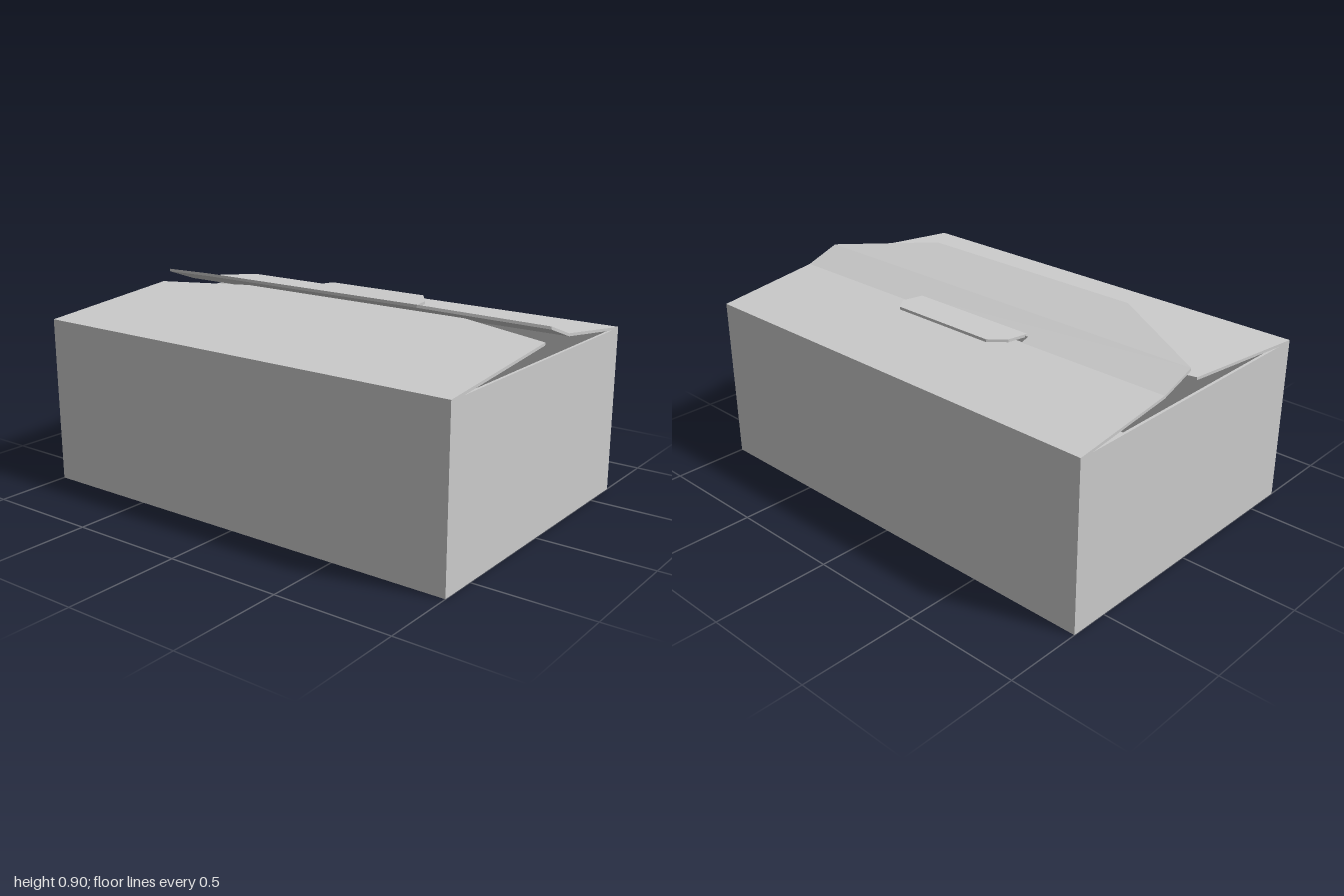
import * as THREE from 'three';

const T = 0.012; // card thickness
const W = 1, D = 0.667, H = 0.722; // half width, half depth, wall height
const material = new THREE.MeshStandardMaterial({ color: 0xcccccc, flatShading: true, side: THREE.DoubleSide });

// Sloped sheet: outline is [x, z] points; its underside runs from (z0, y0) to (z1, y1).
function sheet(name, outline, [z0, y0], [z1, y1], hole) {
  const toVec = ([x, z]) => new THREE.Vector2(x, -z);
  const shape = new THREE.Shape(outline.map(toVec));
  if (hole) shape.holes.push(new THREE.Path(hole.map(toVec)));
  const geometry = new THREE.ExtrudeGeometry(shape, { depth: T, bevelEnabled: false });
  geometry.rotateX(-Math.PI / 2);
  const p = geometry.attributes.position;
  for (let i = 0; i < p.count; i++) {
    p.setY(i, p.getY(i) + y0 + ((p.getZ(i) - z0) / (z1 - z0)) * (y1 - y0));
  }
  geometry.computeVertexNormals();
  const mesh = new THREE.Mesh(geometry, material);
  mesh.name = name;
  return mesh;
}

function rect(x, z0, z1) {
  return [[-x, z0], [x, z0], [x, z1], [-x, z1]];
}

function board(name, w, h, d, x, y, z) {
  const mesh = new THREE.Mesh(new THREE.BoxGeometry(w, h, d), material);
  mesh.name = name;
  mesh.position.set(x, y, z);
  return mesh;
}

export function createModel() {
  const model = new THREE.Group();
  model.name = 'cardboardBox';

  // Open tray: base and four thin walls
  const tray = new THREE.Group();
  tray.name = 'tray';
  tray.add(board('base', 2 * W, T, 2 * D, 0, T / 2, 0));
  for (const [side, s] of [['left', 1], ['right', -1]]) {
    tray.add(board(side + 'Wall', T, H - T, 2 * D, s * (W - T / 2), (H + T) / 2, 0));
  }
  for (const [side, s] of [['front', 1], ['back', -1]]) {
    tray.add(board(side + 'Wall', 2 * (W - T), H - T, T, 0, (H + T) / 2, s * (D - T / 2)));
  }
  model.add(tray);

  // Front flap with clipped corners, and the locking tab on the same slope
  const frontHinge = [D, 0.714], frontTip = [-0.33, 0.81];
  const frontFlap = new THREE.Group();
  frontFlap.name = 'frontFlap';
  frontFlap.add(
    sheet('frontFlapPanel', [[-W, D], [W, D], [W, 0], [0.54, -0.135], [-0.54, -0.135], [-W, 0]], frontHinge, frontTip),
    sheet('lockingTab', [[-0.3, -0.135], [0.3, -0.135], [0.3, -0.26], [0.245, -0.33], [-0.245, -0.33], [-0.3, -0.26]], frontHinge, frontTip)
  );
  model.add(frontFlap);

  // Back flap, folded along two creases, with a slot for the tab
  const fold = [[-D, 0.714], [-0.2, 0.775], [-0.045, 0.831], [0.177, 0.893]];
  const backFlap = new THREE.Group();
  backFlap.name = 'backFlap';
  backFlap.add(
    sheet('backFlapPanel', rect(W, -D, -0.2), fold[0], fold[1]),
    sheet('slotPanel', rect(W, -0.2, -0.045), fold[1], fold[2], rect(0.315, -0.197, -0.163)),
    sheet('lipPanel', [[-W, -0.045], [W, -0.045], [0.54, 0.177], [-0.54, 0.177]], fold[2], fold[3])
  );
  model.add(backFlap);

  return model;
}
